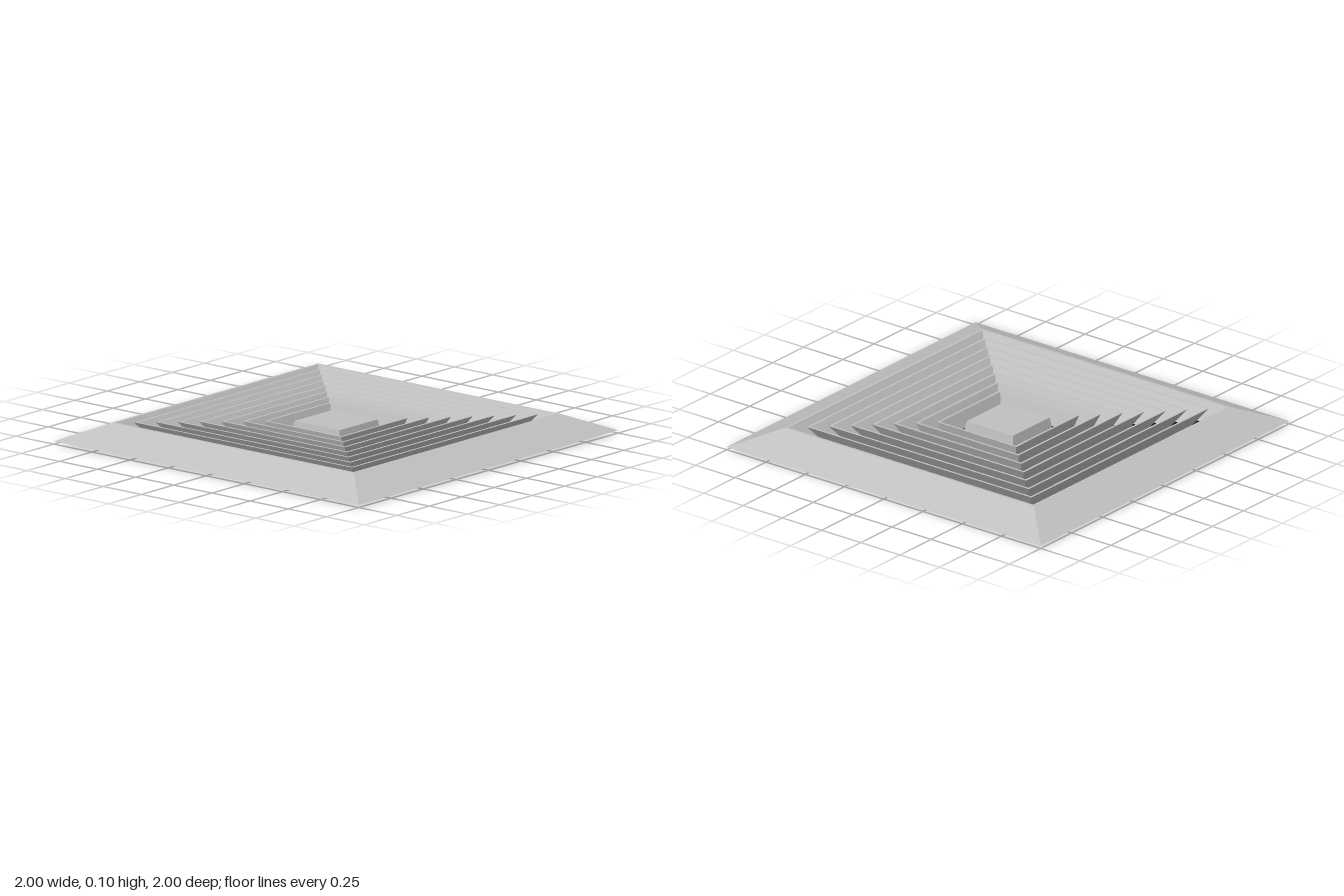
import * as THREE from 'three';

export function createModel() {
  const model = new THREE.Group();
  model.name = 'squareCeilingVent';

  const metal = new THREE.MeshStandardMaterial({ color: 0xc0c0c0 });
  metal.name = 'grey metal';
  const dark = new THREE.MeshStandardMaterial({ color: 0x0c0c0c });
  dark.name = 'black duct';

  const add = (name, geometry, material) => {
    const mesh = new THREE.Mesh(geometry, material);
    mesh.name = name;
    model.add(mesh);
    return mesh;
  };

  // Square ring with mitred corners, from a closed profile of [half width, height]
  const squareRing = (profile) => {
    const points = [...profile, profile[0]].map(([r, y]) => new THREE.Vector2(r * Math.SQRT2, y));
    const geometry = new THREE.LatheGeometry(points, 4, Math.PI / 4).toNonIndexed();
    geometry.computeVertexNormals();
    return geometry;
  };

  const floorY = 0.015;
  const topY = 0.105;

  // Dark backing behind the vanes
  add('backing', new THREE.BoxGeometry(1.88, floorY, 1.88), dark).position.y = floorY / 2;

  // Sloping outer frame, with the first inward slope
  add('outerFrame', squareRing([[1, floorY], [0.795, topY], [0.78, topY], [0.72, floorY]]), metal);

  // Nested vanes, leaning inward and growing steeper toward the middle
  const feet = [0.64, 0.565, 0.49, 0.42, 0.352, 0.284, 0.215];
  const lip = 0.012;
  feet.forEach((foot, i) => {
    const top = 0.703 - 0.077 * i;
    const y = topY - 0.001 * (i + 1);
    add(`vane${i + 1}`, squareRing([[foot + lip, floorY], [top + lip, y], [top, y], [foot, floorY]]), metal);
  });

  // Centre plate with slightly tapered sides
  const plateHeight = 0.08;
  const plate = new THREE.CylinderGeometry(0.148 * Math.SQRT2, 0.16 * Math.SQRT2, plateHeight, 4, 1, false, Math.PI / 4).toNonIndexed();
  plate.computeVertexNormals();
  add('centrePlate', plate, metal).position.y = floorY + plateHeight / 2;

  return model;
}
